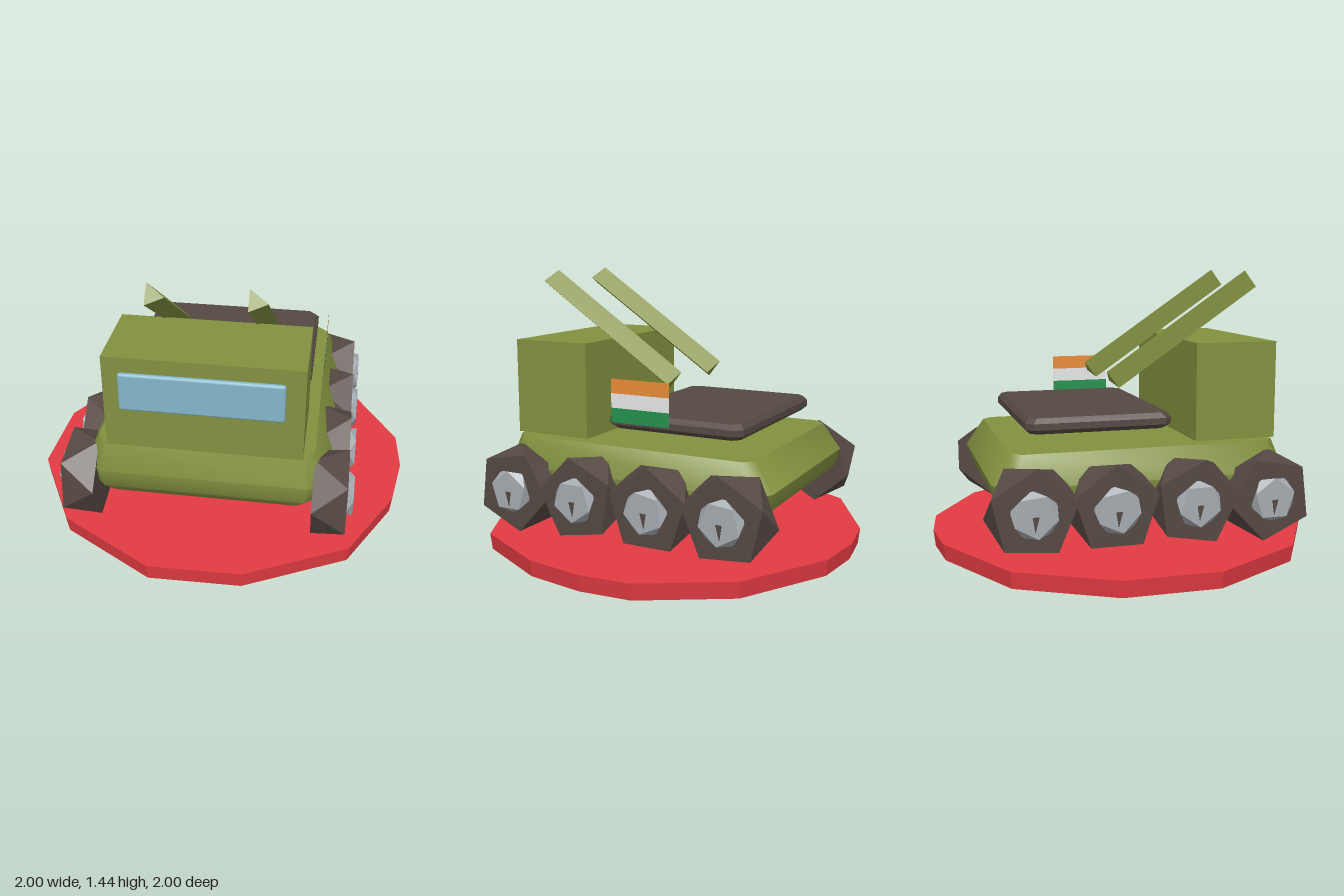
import * as THREE from 'three';
import { toCreasedNormals } from 'three/addons/utils/BufferGeometryUtils.js';
import { RoundedBoxGeometry } from 'three/addons/geometries/RoundedBoxGeometry.js';

const mat = (name, color, extra = {}) => new THREE.MeshStandardMaterial({ name, color, ...extra });
const both = { side: THREE.DoubleSide };
const olive = mat('olive', 0x82913f);
const brown = mat('dark brown', 0x554843);
const grey = mat('hub grey', 0xa4abb0);
const red = mat('base red', 0xe23b42);
const glass = mat('window blue', 0x84b6ca);
const orange = mat('flag orange', 0xe88d35, both);
const white = mat('flag white', 0xe8e8e8, both);
const green = mat('flag green', 0x24924f, both);

// Faceted solid through closed rings of equal length, capped at both ends
function loft(rings) {
  const out = [];
  const tri = (...pts) => pts.forEach((p) => out.push(...p));
  const n = rings[0].length;
  for (let r = 0; r + 1 < rings.length; r++) {
    const a = rings[r], b = rings[r + 1];
    for (let i = 0; i < n; i++) {
      const j = (i + 1) % n;
      tri(a[i], a[j], b[i]);
      tri(a[j], b[j], b[i]);
    }
  }
  const lo = rings[0], hi = rings[rings.length - 1];
  for (let i = 1; i + 1 < n; i++) {
    tri(lo[0], lo[i + 1], lo[i]);
    tri(hi[0], hi[i], hi[i + 1]);
  }
  const g = new THREE.BufferGeometry();
  g.setAttribute('position', new THREE.Float32BufferAttribute(out, 3));
  g.computeVertexNormals();
  return g;
}

// Horizontal rectangle with cut corners
const cutRect = (y, x0, x1, z0, z1, c) => [
  [x0 + c, y, z1], [x1 - c, y, z1], [x1, y, z1 - c], [x1, y, z0 + c],
  [x1 - c, y, z0], [x0 + c, y, z0], [x0, y, z0 + c], [x0, y, z1 - c],
];

// Upright polygon facing along x
const disc = (x, y, z, r, n, deg) => Array.from({ length: n }, (_, i) => {
  const a = (deg + i * 360 / n) * Math.PI / 180;
  return [x, y + r * Math.sin(a), z - r * Math.cos(a)];
});

export function createModel() {
  const model = new THREE.Group();
  model.name = 'toyTank';
  const add = (name, geo, material, parent = model) => {
    const m = new THREE.Mesh(geo, material);
    m.name = name;
    parent.add(m);
    return m;
  };

  // Round base
  const outline = [
    [0.22, 0.99], [0.73, 0.73], [0.95, 0.31], [1, 0], [0.98, -0.27], [0.73, -0.7], [0.28, -0.965],
    [0, -1], [-0.25, -0.97], [-0.74, -0.71], [-0.99, -0.25], [-1, 0.23], [-0.74, 0.71], [-0.25, 1],
  ];
  const baseRing = (y, k) => outline.map(([x, z]) => [x * k, y, z * k]);
  add('base', loft([baseRing(0, 0.99), baseRing(0.085, 1)]), red);

  // Hull with sloping flanks
  const hullRing = (y, inset, c) =>
    cutRect(y, -0.63 + inset, 0.61 - inset, -0.76 + inset * 1.2, 0.74 - inset * 0.65, c);
  const hull = loft([hullRing(0.28, 0.1, 0.06), hullRing(0.34, 0.025, 0.09),
    hullRing(0.44, 0, 0.1), hullRing(0.585, 0.08, 0.05)]);
  add('hull', toCreasedNormals(hull, 0.8), olive);

  // Cabin and windscreen
  add('cabin', new THREE.BoxGeometry(0.965, 0.495, 0.43), olive).position.set(-0.007, 0.8375, 0.495);
  add('windscreen', new RoundedBoxGeometry(0.79, 0.2, 0.03, 2, 0.014), glass).position.set(-0.01, 0.922, 0.74);

  // Rear deck plate
  const deckRing = (y, i) => cutRect(y, -0.492 + i, 0.477 - i, -0.582 + i, 0.157 - i, 0.035);
  add('deckPlate', loft([deckRing(0.662, 0.025), deckRing(0.685, 0), deckRing(0.717, 0), deckRing(0.742, 0.02)]), brown);

  // Two slanted three-sided barrels
  for (const x of [-0.272, 0.198]) {
    const end = (y, z) => [[x, y, z], [x, y - 0.085, z + 0.065], [x + 0.088, y - 0.055, z + 0.035]];
    add('barrel', loft([end(0.93, -0.125), end(1.44, 0.625)]), olive);
  }

  // Striped flag
  const flag = new THREE.Group();
  flag.name = 'flag';
  model.add(flag);
  [green, white, orange].forEach((m, i) => {
    const stripe = add('flagStripe', new THREE.PlaneGeometry(0.325, 0.0733), m, flag);
    stripe.rotation.y = Math.PI / 2;
    stripe.position.set(0.54, 0.747 + i * 0.0733, -0.0725);
  });

  // Faceted wheels with hubs, mirrored on both sides
  const wheels = [[0.6, 0.33, 65], [0.21, 0.33, 100], [-0.195, 0.33, 90], [-0.59, 0.335, 95]];
  for (const s of [1, -1]) {
    const X = (x) => s * x - 0.01;
    for (const [z, y, deg] of wheels) {
      const wheel = new THREE.Group();
      wheel.name = s > 0 ? 'leftWheel' : 'rightWheel';
      model.add(wheel);
      const solid = (x0, r0, x1, r1, n, d) => {
        const inner = disc(X(x0), y, z, r0, n, s > 0 ? d - 180 / n : d + 180 / n);
        const outer = disc(X(x1), y, z, r1, n, d);
        return loft(s > 0 ? [inner, outer] : [outer, inner]);
      };
      add('tyre', solid(0.54, 0.222, 0.71, 0.218, 5, deg), brown, wheel);
      add('hub', solid(0.705, 0.118, 0.742, 0.108, 5, deg + 25), grey, wheel);
      // Narrow slot on the hub
      const slot = (x) => [[X(x), y, z + 0.016], [X(x), y - 0.075, z - 0.004], [X(x), y, z - 0.016]];
      add('hubSlot', loft(s > 0 ? [slot(0.74), slot(0.745)] : [slot(0.745), slot(0.74)]), brown, wheel);
    }
  }
  return model;
}
